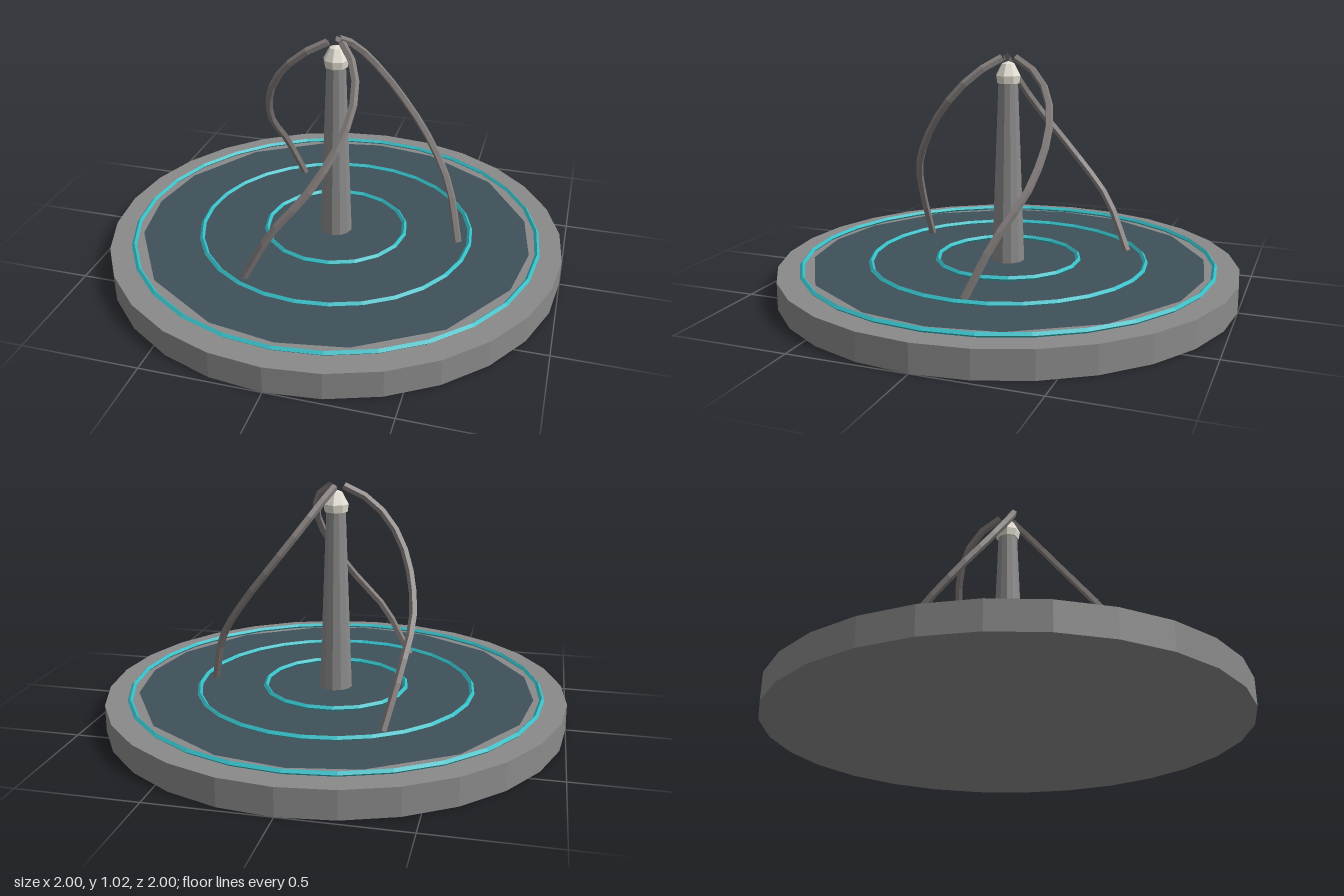
import * as THREE from 'three';

const material = (name, color, extra = {}) =>
  Object.assign(new THREE.MeshStandardMaterial({ color, flatShading: true, ...extra }), { name });

export function createModel() {
  const group = new THREE.Group();
  const stone = material('stone grey', 0x8a8a8a);
  const metal = material('warm grey metal', 0x857f7d);
  const water = material('dark water', 0x3f5159, { side: THREE.DoubleSide });
  const cyan = material('cyan ripple', 0x35bcc4);
  const cream = material('cream', 0xe2ded2);

  const add = (name, geometry, mat, y = 0) => {
    const mesh = new THREE.Mesh(geometry, mat);
    mesh.name = name;
    mesh.position.y = y;
    group.add(mesh);
    return mesh;
  };

  // Round plinth
  add('base', new THREE.CylinderGeometry(1, 1, 0.116, 28), stone, 0.058);

  // Water surface with unevenly spaced rim corners
  const rim = [];
  for (let q = 0; q < 4; q++) {
    for (const degrees of [0, 19, 45, 71]) {
      const a = THREE.MathUtils.degToRad(degrees + q * 90);
      rim.push(new THREE.Vector2(0.86 * Math.cos(a), 0.86 * Math.sin(a)));
    }
  }
  add('waterSurface', new THREE.ShapeGeometry(new THREE.Shape(rim)).rotateX(-Math.PI / 2), water, 0.123);

  // Concentric ripples
  for (const [radius, y, segments] of [[0.895, 0.125, 28], [0.6, 0.129, 28], [0.31, 0.134, 18]]) {
    add('ripple', new THREE.TorusGeometry(radius, 0.011, 4, segments).rotateX(Math.PI / 2), cyan, y);
  }

  // Tapered column and faceted cap
  add('column', new THREE.CylinderGeometry(0.042, 0.072, 0.8, 12), stone, 0.515);
  const capProfile = [[0, 0.9], [0.05, 0.902], [0.055, 0.935], [0.028, 0.985], [0, 0.995]]
    .map(([r, y]) => new THREE.Vector2(r, y));
  add('cap', new THREE.LatheGeometry(capProfile, 8), cream);

  // Three curling arms, each turned a third of a circle
  const path = new THREE.CatmullRomCurve3([
    [0, 1.01, -0.035], [0.04, 0.95, -0.14], [0.11, 0.85, -0.215], [0.21, 0.72, -0.245],
    [0.36, 0.53, -0.215], [0.48, 0.35, -0.12], [0.55, 0.125, -0.02],
  ].map((p) => new THREE.Vector3(...p)));
  const armGeometry = new THREE.TubeGeometry(path, 12, 0.017, 5);
  metal.side = THREE.DoubleSide;
  for (let i = 0; i < 3; i++) {
    add('curvedArm', armGeometry, metal).rotation.y = (i * Math.PI * 2) / 3;
  }
  return group;
}
